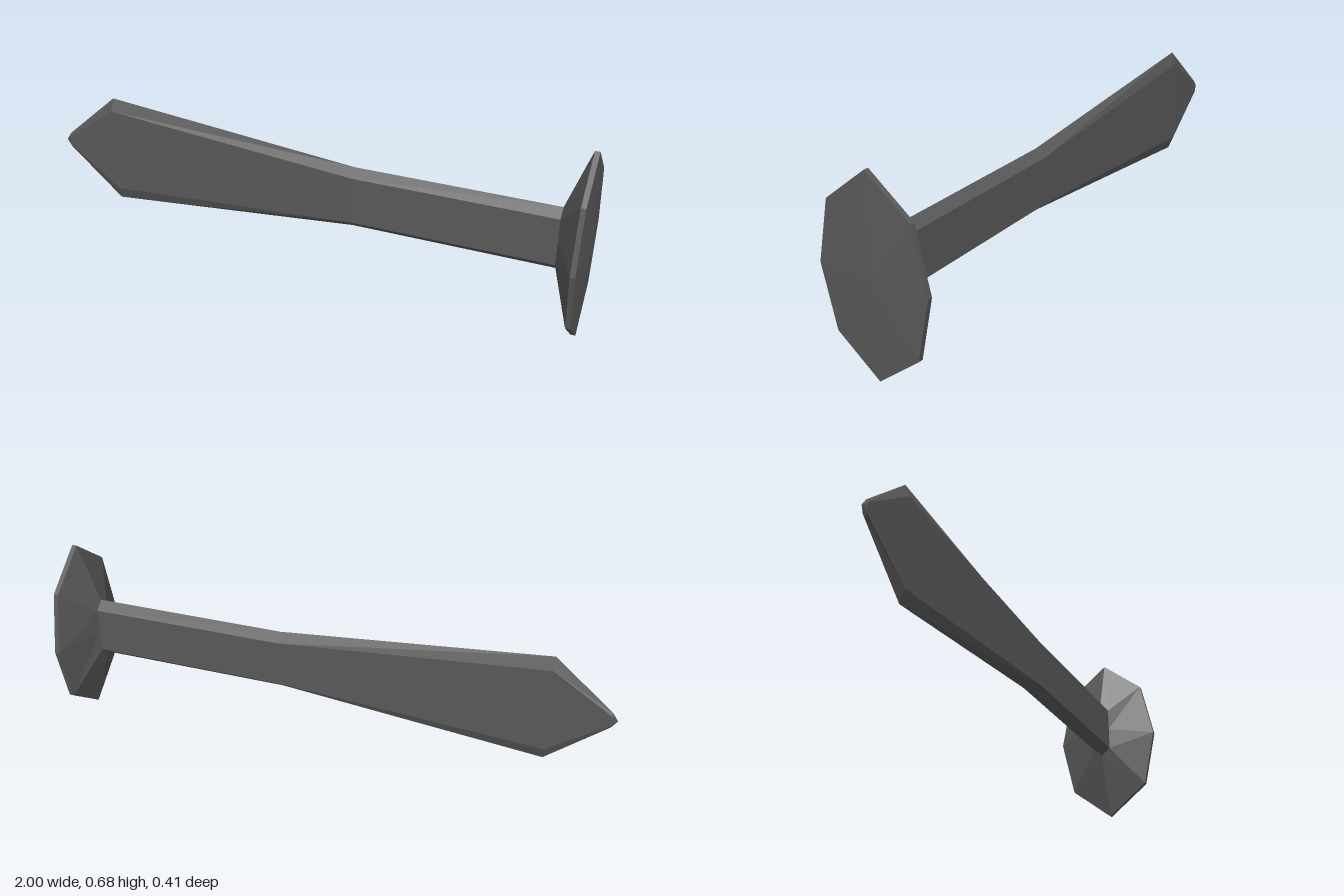
import * as THREE from 'three';

// Eight-sided ring at x: points run from the top, around +z, to the bottom and back.
// peak = half height at z 0, shoulder/shoulderZ = bevel corner, side = half depth at mid height
function ring(x, y, peak, shoulder, shoulderZ, side) {
  return [
    [peak, 0], [shoulder, shoulderZ], [0, side], [-shoulder, shoulderZ],
    [-peak, 0], [-shoulder, -shoulderZ], [0, -side], [shoulder, -shoulderZ],
  ].map(([dy, z]) => new THREE.Vector3(x, y + dy, z));
}

// Faceted skin over rings ordered by rising x, optionally closed to a point at each end
function loft(rings, startPoint, endPoint) {
  const points = [];
  for (let k = 0; k < 8; k++) {
    const n = (k + 1) % 8;
    for (let i = 0; i < rings.length - 1; i++) {
      const a = rings[i][k], b = rings[i][n], c = rings[i + 1][n], d = rings[i + 1][k];
      points.push(a, b, d, b, c, d);
    }
    if (startPoint) points.push(startPoint, rings[0][n], rings[0][k]);
    if (endPoint) points.push(endPoint, rings.at(-1)[k], rings.at(-1)[n]);
  }
  const geometry = new THREE.BufferGeometry().setFromPoints(points);
  geometry.computeVertexNormals();
  return geometry;
}

export function createModel() {
  const group = new THREE.Group();
  const darkGrey = new THREE.MeshStandardMaterial({ color: 0x595959 });
  const add = (name, geometry) => {
    const mesh = new THREE.Mesh(geometry, darkGrey);
    mesh.name = name;
    group.add(mesh);
  };

  // Shaft root, shared by both parts
  const root = ring(0.895, 0.355, 0.113, 0.084, 0.034, 0.034);

  // Bevelled blade: narrow shaft widening to a broad, thin point
  add('blade', loft([
    ring(-0.98, 0.369, 0.029, 0.018, 0.007, 0.007),
    ring(-0.775, 0.368, 0.204, 0.158, 0.017, 0.017),
    ring(0.18, 0.36, 0.113, 0.085, 0.034, 0.034),
    root,
  ], new THREE.Vector3(-1, 0.369, 0)));

  // Flared octagonal base plate with a thin rim and a slightly domed end
  add('basePlate', loft([
    root,
    ring(0.968, 0.339, 0.339, 0.216, 0.157, 0.205),
    ring(0.985, 0.339, 0.339, 0.216, 0.157, 0.205),
  ], null, new THREE.Vector3(1, 0.339, 0)));

  return group;
}
